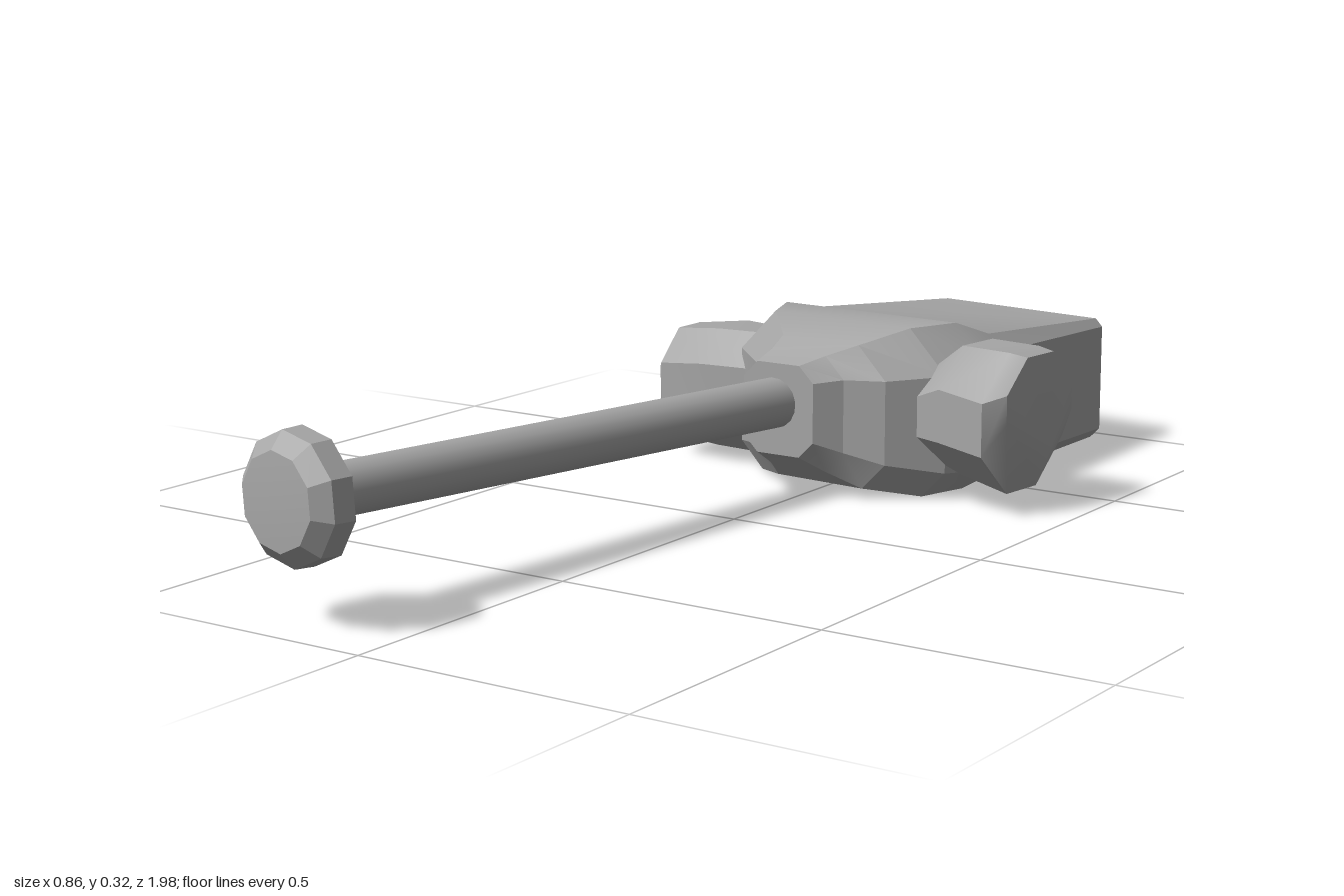
import * as THREE from 'three';
import { toCreasedNormals } from 'three/addons/utils/BufferGeometryUtils.js';

// Eight-cornered ring: a rectangle with cut corners, cb at the bottom and ct at the top
function cutRect(u0, u1, v0, v1, cb, ct = cb) {
  return [
    [u0 + cb, v0], [u1 - cb, v0], [u1, v0 + cb], [u1, v1 - ct],
    [u1 - ct, v1], [u0 + ct, v1], [u0, v1 - ct], [u0, v0 + cb],
  ];
}

// Skins a row of rings and closes both ends; flip reverses the facing
function loft(rings, flip, crease) {
  const n = rings[0].length;
  const index = [];
  const tri = (a, b, c) => (flip ? index.push(a, c, b) : index.push(a, b, c));
  for (let r = 0; r < rings.length - 1; r++) {
    for (let i = 0; i < n; i++) {
      const a = r * n + i;
      const b = r * n + ((i + 1) % n);
      tri(a, b, b + n);
      tri(a, b + n, a + n);
    }
  }
  const last = (rings.length - 1) * n;
  for (let i = 1; i < n - 1; i++) {
    tri(0, i + 1, i);
    tri(last, last + i, last + i + 1);
  }
  const geo = new THREE.BufferGeometry();
  geo.setAttribute('position', new THREE.Float32BufferAttribute(rings.flat(2), 3));
  geo.setIndex(index);
  return toCreasedNormals(geo, crease);
}

export function createModel() {
  const model = new THREE.Group();
  const grey = new THREE.MeshStandardMaterial({ color: 0xa6a6a6 });
  grey.name = 'plain grey';

  const add = (name, geometry) => {
    const mesh = new THREE.Mesh(geometry, grey);
    mesh.name = name;
    model.add(mesh);
    return mesh;
  };

  // Body sections from back to front: z at both sides, x span, y span, corner cuts
  const sections = [
    [-0.99, -0.945, -0.12, 0.235, 0.04, 0.24, 0.015, 0.01],
    [-0.965, -0.92, -0.135, 0.255, 0.02, 0.26, 0.02, 0.015],
    [-0.55, -0.5, -0.235, 0.26, 0.02, 0.292, 0.03, 0.03],
    [-0.45, -0.43, -0.24, 0.26, 0.01, 0.32, 0.04, 0.06],
    [-0.36, -0.33, -0.225, 0.24, 0.01, 0.32, 0.05, 0.08],
    [-0.27, -0.25, -0.13, 0.16, 0.03, 0.295, 0.05, 0.06],
    [-0.23, -0.22, -0.11, 0.09, 0.06, 0.275, 0.04, 0.04],
    [-0.18, -0.18, -0.1, 0.05, 0.09, 0.26, 0.03, 0.03],
  ];
  add('body', loft(sections.map(([zl, zr, x0, x1, y0, y1, cb, ct]) =>
    cutRect(x0, x1, y0, y1, cb, ct).map(([x, y]) =>
      [x, y, zl + (zr - zl) * (x - x0) / (x1 - x0)])), false, 0.35));

  // Side pods: x, z span, y span, corner cut; each leans a little along z
  const pod = (name, rows, flip, lean) => add(name, loft(
    rows.map(([x, z0, z1, y0, y1, c]) =>
      cutRect(z0, z1, y0, y1, c).map(([z, y]) => [x + lean * (z + 0.4), y, z])), flip, 0.7));
  pod('leftPod', [
    [0.2, -0.44, -0.3, 0.09, 0.24, 0.04],
    [0.285, -0.485, -0.255, 0.065, 0.302, 0.07],
    [0.39, -0.48, -0.23, 0.045, 0.302, 0.08],
    [0.42, -0.46, -0.26, 0.12, 0.295, 0.06],
  ], true, -0.12);
  pod('rightPod', [
    [-0.2, -0.53, -0.34, 0.03, 0.265, 0.06],
    [-0.3, -0.555, -0.33, 0.035, 0.265, 0.06],
    [-0.4, -0.53, -0.34, 0.04, 0.255, 0.06],
    [-0.43, -0.485, -0.38, 0.11, 0.21, 0.03],
  ], false, 0);

  // Long barrel, slightly turned and raised
  const start = new THREE.Vector3(-0.03, 0.185, -0.22);
  const end = new THREE.Vector3(-0.165, 0.217, 0.94);
  const aim = end.clone().sub(start);
  const turn = new THREE.Quaternion().setFromUnitVectors(
    new THREE.Vector3(0, 1, 0), aim.clone().normalize());
  const barrel = add('barrel', new THREE.CylinderGeometry(0.044, 0.047, aim.length(), 16));
  barrel.position.copy(start).add(end).multiplyScalar(0.5);
  barrel.quaternion.copy(turn);

  // Flared muzzle at the tip of the barrel
  const profile = [[0.03, -0.02], [0.075, -0.045], [0.11, -0.02], [0.108, 0.02], [0.08, 0.045], [0, 0.05]]
    .map(([r, y]) => new THREE.Vector2(r, y));
  const muzzle = add('muzzle', toCreasedNormals(new THREE.LatheGeometry(profile, 10), 0.4));
  muzzle.position.copy(end);
  muzzle.quaternion.copy(turn);

  return model;
}
